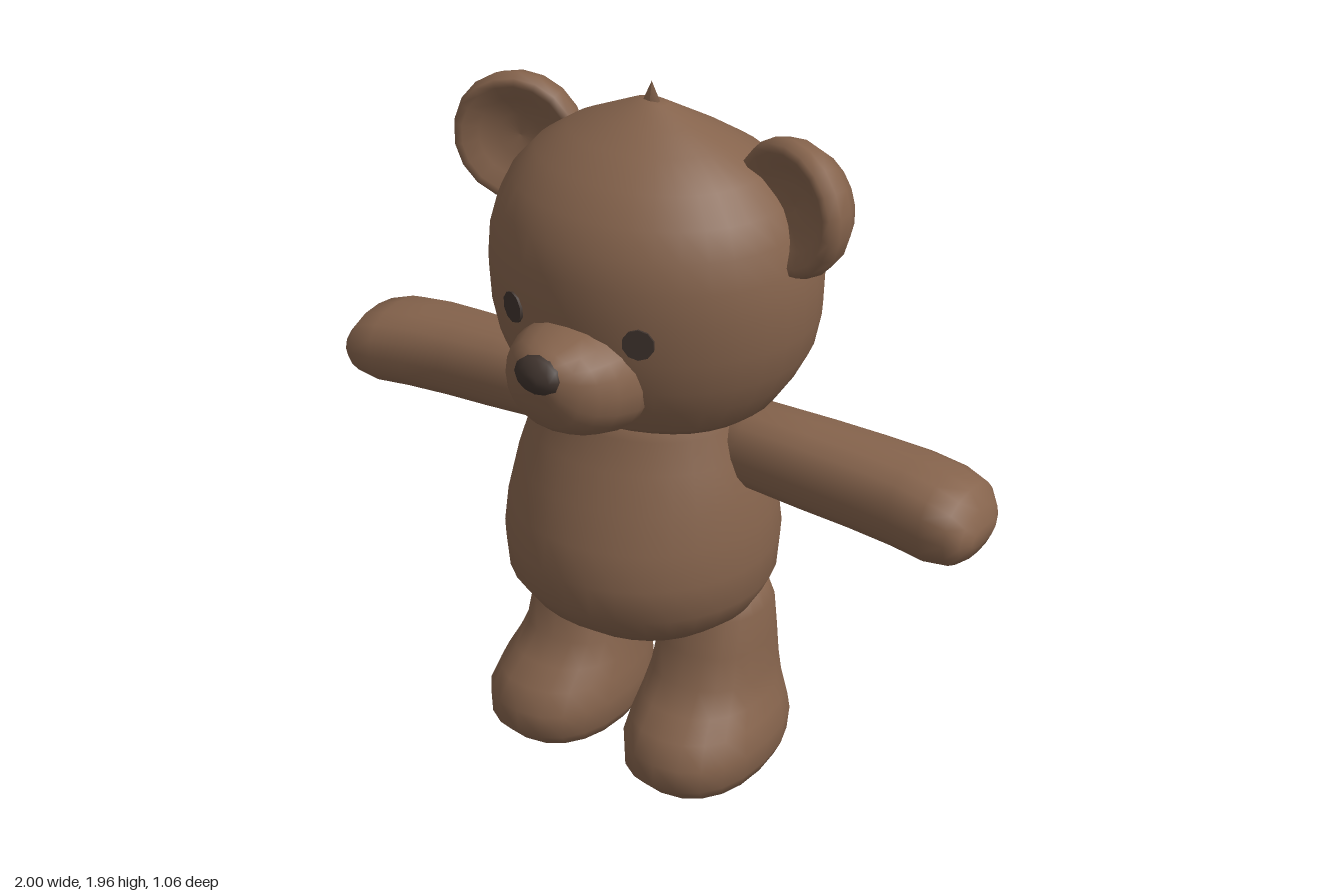
import * as THREE from 'three';

const fur = new THREE.MeshStandardMaterial({ color: 0x85634c });
fur.name = 'brown fur';
const dark = new THREE.MeshStandardMaterial({ color: 0x40342e });
dark.name = 'dark brown';

// Closed skin over ellipse sections [t, uMin, uMax, vMin, vMax] along an axis.
// (u, v) is (z, x) along y, (y, z) along x and (x, y) along z. Power above 2 squares the ellipse.
function loft(name, axis, sections, { material = fur, sides = 24, power = 2 } = {}) {
  const rows = [...sections].sort((a, b) => a[0] - b[0]);
  const pos = [], index = [];
  const put = (t, u, v) => pos.push(...{ x: [t, u, v], y: [v, t, u], z: [u, v, t] }[axis]);
  const bend = (c) => Math.sign(c) * Math.pow(Math.abs(c), 2 / power);
  for (const [t, u0, u1, v0, v1] of rows) {
    for (let j = 0; j < sides; j++) {
      const a = (j / sides) * Math.PI * 2;
      put(t, (u0 + u1) / 2 + ((u1 - u0) / 2) * bend(Math.cos(a)),
        (v0 + v1) / 2 + ((v1 - v0) / 2) * bend(Math.sin(a)));
    }
  }
  const n = rows.length;
  for (const [t, u0, u1, v0, v1] of [rows[0], rows[n - 1]]) put(t, (u0 + u1) / 2, (v0 + v1) / 2);
  for (let j = 0; j < sides; j++) {
    const k = (j + 1) % sides;
    for (let i = 0; i < n - 1; i++) {
      const a = i * sides + j, b = i * sides + k;
      index.push(a, b, a + sides, b, b + sides, a + sides);
    }
    index.push(n * sides, k, j, n * sides + 1, (n - 1) * sides + j, (n - 1) * sides + k);
  }
  const g = new THREE.BufferGeometry();
  g.setAttribute('position', new THREE.Float32BufferAttribute(pos, 3));
  g.setIndex(index);
  g.computeVertexNormals();
  return named(name, g, material);
}

function named(name, geometry, material) {
  const m = new THREE.Mesh(geometry, material);
  m.name = name;
  return m;
}

export function createModel() {
  const bear = new THREE.Group();
  bear.name = 'teddyBear';

  // Torso: pear shape, rows are [y, zBack, zFront, xMin, xMax]
  bear.add(loft('body', 'y', [
    [0.365, -0.06, 0.04, -0.05, 0.05], [0.4, -0.17, 0.13, -0.15, 0.15],
    [0.45, -0.23, 0.25, -0.25, 0.25], [0.52, -0.29, 0.34, -0.33, 0.33],
    [0.6, -0.34, 0.4, -0.37, 0.37], [0.7, -0.35, 0.41, -0.378, 0.378],
    [0.8, -0.33, 0.39, -0.37, 0.37], [0.9, -0.28, 0.35, -0.35, 0.35],
    [1.0, -0.24, 0.31, -0.32, 0.32], [1.08, -0.22, 0.27, -0.29, 0.29],
    [1.16, -0.21, 0.25, -0.27, 0.27],
  ], { sides: 32 }));

  // Head
  bear.add(loft('head', 'y', [
    [1.1, -0.26, 0.25, -0.31, 0.31], [1.13, -0.32, 0.29, -0.35, 0.35],
    [1.2, -0.39, 0.33, -0.395, 0.395], [1.27, -0.425, 0.355, -0.43, 0.43],
    [1.36, -0.435, 0.37, -0.45, 0.45], [1.46, -0.435, 0.375, -0.455, 0.455],
    [1.55, -0.42, 0.37, -0.445, 0.445], [1.63, -0.39, 0.35, -0.42, 0.42],
    [1.7, -0.345, 0.31, -0.385, 0.385], [1.77, -0.275, 0.25, -0.32, 0.32],
    [1.83, -0.18, 0.17, -0.23, 0.23], [1.87, -0.11, 0.1, -0.14, 0.14],
    [1.91, -0.04, 0.03, -0.05, 0.05],
  ], { sides: 36 }));

  // Small tuft on the crown
  const tuft = named('tuft', new THREE.ConeGeometry(0.045, 0.09, 6), fur);
  tuft.scale.z = 0.35;
  tuft.position.set(0, 1.917, -0.01);
  bear.add(tuft);

  // Snout and nose, rows are [z, xMin, xMax, yMin, yMax]
  bear.add(loft('snout', 'z', [
    [0.22, -0.2, 0.2, 1.12, 1.44], [0.32, -0.19, 0.19, 1.12, 1.435],
    [0.39, -0.172, 0.172, 1.14, 1.43], [0.44, -0.145, 0.145, 1.165, 1.42],
    [0.475, -0.11, 0.11, 1.195, 1.41], [0.5, -0.07, 0.07, 1.25, 1.395],
    [0.515, -0.035, 0.035, 1.31, 1.375],
  ], { sides: 20, power: 2.2 }));
  bear.add(loft('nose', 'z', [
    [0.46, -0.066, 0.066, 1.305, 1.405], [0.505, -0.068, 0.068, 1.295, 1.4],
    [0.522, -0.05, 0.05, 1.31, 1.385], [0.533, -0.022, 0.022, 1.33, 1.365],
  ], { material: dark, sides: 12 }));

  // Ear: domed back, round rim, dished front
  const earShape = new THREE.LatheGeometry([
    [0, -0.1], [0.07, -0.095], [0.13, -0.07], [0.17, -0.02], [0.182, 0.025],
    [0.172, 0.055], [0.15, 0.058], [0.11, 0.035], [0.06, 0.018], [0, 0.012],
  ].map(([r, y]) => new THREE.Vector2(r, y)), 18).rotateX(Math.PI / 2);
  // Thin round eye plate
  const eyeShape = new THREE.CylinderGeometry(0.042, 0.042, 0.009, 10).rotateX(Math.PI / 2);

  for (const s of [1, -1]) {
    const side = s > 0 ? 'left' : 'right';

    const ear = named(side + 'Ear', earShape, fur);
    ear.position.set(s * 0.425, 1.718, -0.03);
    ear.rotation.y = -s * 0.3;
    bear.add(ear);

    const eye = named(side + 'Eye', eyeShape, dark);
    eye.position.set(s * 0.192, 1.42, 0.337);
    eye.rotation.y = s * 0.39;
    bear.add(eye);

    // Arm held straight out, rows are [x, yMin, yMax, zMin, zMax]
    bear.add(loft(side + 'Arm', 'x', [
      [0.2, 0.92, 1.09, -0.12, 0.07], [0.32, 0.895, 1.125, -0.145, 0.085],
      [0.5, 0.882, 1.12, -0.165, 0.09], [0.65, 0.874, 1.113, -0.178, 0.092],
      [0.78, 0.867, 1.107, -0.184, 0.1], [0.88, 0.865, 1.098, -0.178, 0.118],
      [0.95, 0.88, 1.075, -0.16, 0.115], [0.985, 0.91, 1.03, -0.12, 0.09],
      [1.0, 0.945, 0.99, -0.08, 0.05],
    ].map(([x, ...r]) => [s * x, ...r]), { sides: 16, power: 2.3 }));

    // Leg and foot, rows are [y, zBack, zFront, xInner, xOuter]
    bear.add(loft(side + 'Leg', 'y', [
      [0.005, -0.15, 0.24, 0.1, 0.36], [0.025, -0.19, 0.285, 0.06, 0.4],
      [0.07, -0.215, 0.325, 0.035, 0.422], [0.14, -0.22, 0.325, 0.03, 0.428],
      [0.2, -0.21, 0.285, 0.038, 0.41], [0.25, -0.205, 0.23, 0.045, 0.39],
      [0.31, -0.2, 0.175, 0.05, 0.374], [0.4, -0.19, 0.145, 0.06, 0.366],
      [0.5, -0.175, 0.105, 0.09, 0.355], [0.58, -0.14, 0.06, 0.13, 0.33],
    ].map(([y, z0, z1, a, b]) => (s > 0 ? [y, z0, z1, a, b] : [y, z0, z1, -b, -a])),
    { sides: 20, power: 2.3 }));
  }

  // Stubby tail, rows are [z, xMin, xMax, yMin, yMax]
  bear.add(loft('tail', 'z', [
    [-0.53, -0.045, 0.045, 0.59, 0.675], [-0.51, -0.09, 0.09, 0.56, 0.705],
    [-0.45, -0.118, 0.118, 0.538, 0.71], [-0.39, -0.11, 0.11, 0.552, 0.715],
    [-0.28, -0.08, 0.08, 0.57, 0.71],
  ], { sides: 10, power: 2.3 }));

  return bear;
}
